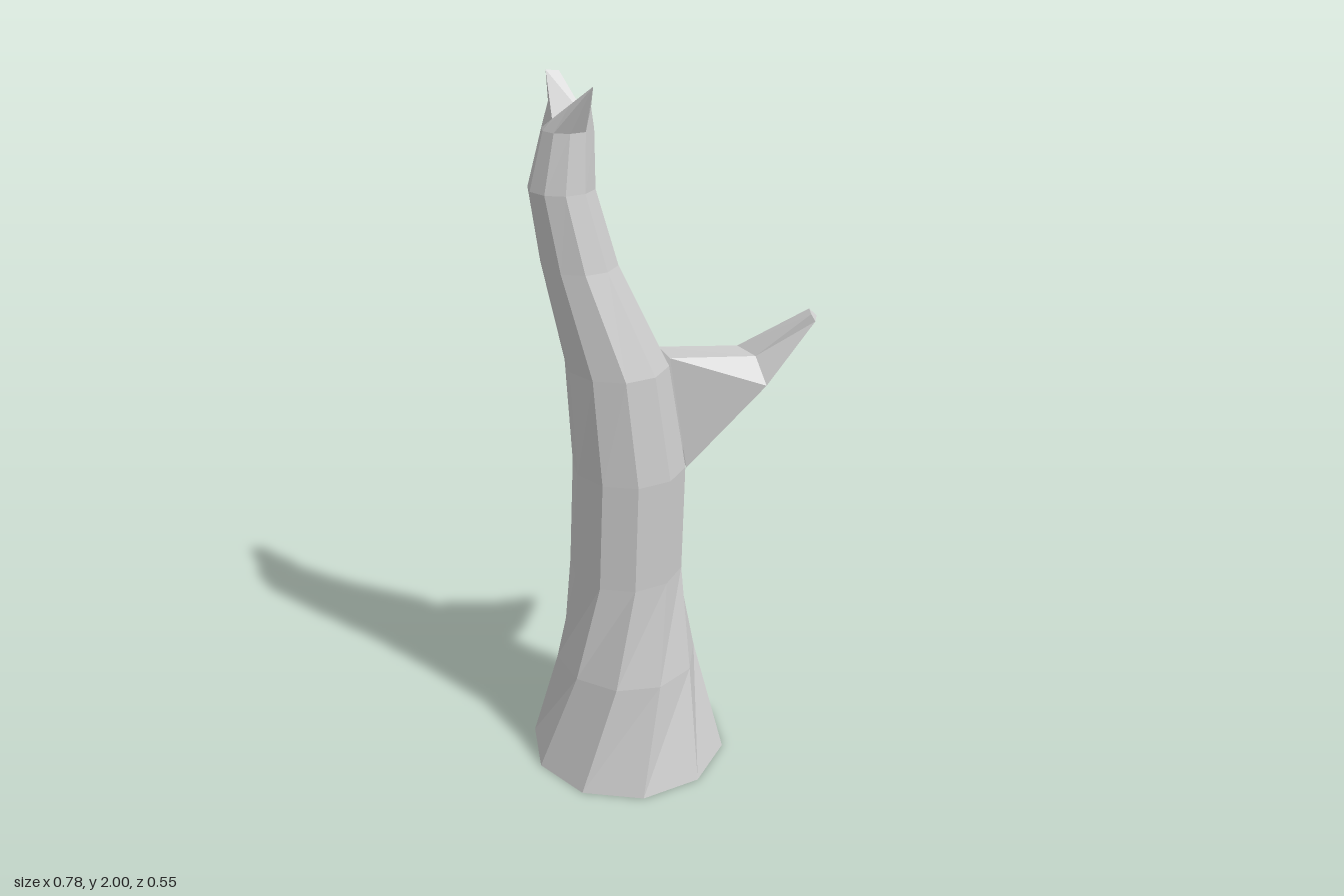
import * as THREE from 'three';

const SIDES = 10;
const V = (x, y, z) => new THREE.Vector3(x, y, z);

// Skins a list of equal-length rings (anticlockwise seen from the far end);
// caps are polygons given as lists of points.
function skin(name, rings, caps, material) {
  const pos = [];
  const tri = (...pts) => pts.forEach((p) => pos.push(p.x, p.y, p.z));
  for (let r = 0; r + 1 < rings.length; r++) {
    const a = rings[r], b = rings[r + 1], n = a.length;
    for (let i = 0; i < n; i++) {
      const j = (i + 1) % n;
      tri(a[i], a[j], b[j]);
      tri(a[i], b[j], b[i]);
    }
  }
  for (const cap of caps) {
    for (let i = 1; i + 1 < cap.length; i++) tri(cap[0], cap[i], cap[i + 1]);
  }
  const geometry = new THREE.BufferGeometry();
  geometry.setAttribute('position', new THREE.Float32BufferAttribute(pos, 3));
  geometry.computeVertexNormals();
  const mesh = new THREE.Mesh(geometry, material);
  mesh.name = name;
  return mesh;
}

// One trunk ring from its extents and its twist in degrees
function trunkRing([y, x0, x1, z0, z1, twist]) {
  const rx = (x1 - x0) / 2, rz = (z1 - z0) / 2 / Math.sin(Math.PI * 0.4);
  return Array.from({ length: SIDES }, (_, i) => {
    const a = (i / SIDES) * Math.PI * 2 + THREE.MathUtils.degToRad(twist);
    return V((x0 + x1) / 2 + rx * Math.cos(a), y, (z0 + z1) / 2 - rz * Math.sin(a));
  });
}

export function createModel() {
  const group = new THREE.Group();
  group.name = 'deadTree';
  const bark = new THREE.MeshStandardMaterial({
    color: 0xcccccc, flatShading: true, side: THREE.DoubleSide,
  });

  // Leaning trunk: y, xMin, xMax, zMin, zMax, twist
  const rings = [
    [0, -0.39, 0.19, -0.277, 0.277, 0],
    [0.32, -0.305, 0.1, -0.205, 0.205, 18],
    [0.62, -0.262, 0.058, -0.155, 0.16, 36],
    [0.94, -0.25, 0.065, -0.143, 0.163, 36],
    [1.24, -0.258, 0.022, -0.148, 0.135, 36],
    [1.52, -0.303, -0.1, -0.153, 0.055, 36],
    [1.72, -0.325, -0.15, -0.153, 0.018, 36],
    [1.87, -0.287, -0.15, -0.122, 0.0, 36],
  ].map(trunkRing);

  // Snapped crown: two splinters with a valley between them
  const right = V(-0.15, 1.875, -0.078), left = V(-0.265, 1.9, -0.05);
  const backR = V(-0.195, 1.995, -0.155), backL = V(-0.232, 2, -0.155);
  const front = V(-0.2, 1.99, 0.053);
  const mid = (a, b) => a.clone().lerp(b, 0.45);
  const crown = [
    mid(right, backR), backR, backL, mid(left, backL), left,
    mid(left, front), front, front, mid(right, front), right,
  ];
  const backFace = [right, ...crown.slice(0, 5)];
  const frontFace = [left, ...crown.slice(5)];
  const base = [...rings[0]].reverse();
  group.add(skin('trunk', [...rings, crown], [base, backFace, frontFace], bark));

  // Branch: root, elbow and blunt tip
  const root = [V(0.025, 1.25, -0.035), V(0.012, 1.25, 0.055), V(0.035, 0.94, 0.11), V(0.065, 0.94, 0.02)];
  const elbow = [V(0.22, 1.25, 0.06), V(0.23, 1.245, 0.14), V(0.23, 1.18, 0.2), V(0.2, 1.12, 0.12)];
  const tip = [V(0.368, 1.372, 0.183), V(0.358, 1.365, 0.208), V(0.368, 1.345, 0.215), V(0.39, 1.35, 0.188)];
  group.add(skin('branch', [root, elbow, tip], [tip], bark));

  return group;
}
